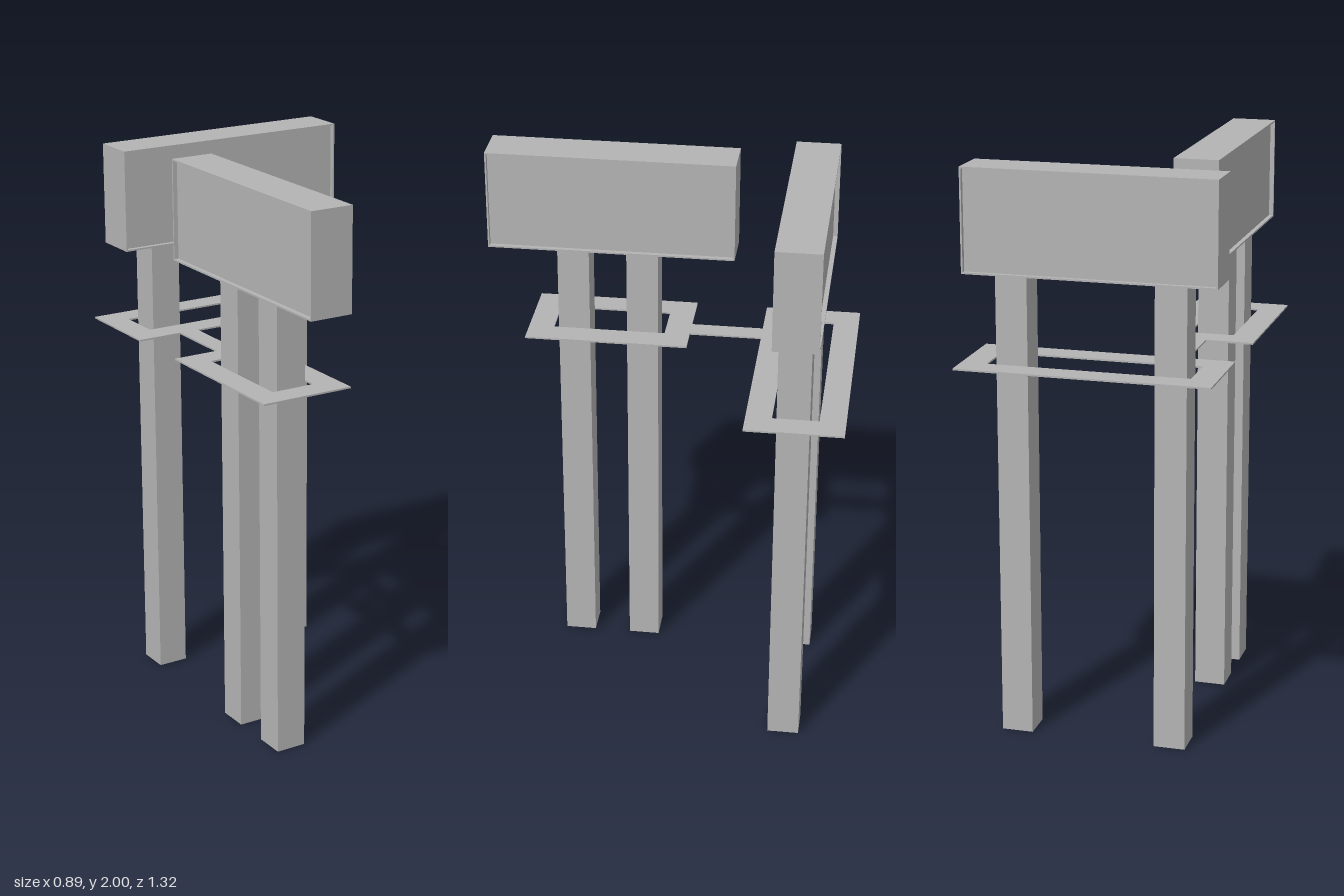
import * as THREE from 'three';

const grey = new THREE.MeshStandardMaterial({ color: 0xb4b4b4 });
grey.name = 'grey';

function addBox(parent, name, w, h, d, x, y, z) {
  const mesh = new THREE.Mesh(new THREE.BoxGeometry(w, h, d), grey);
  mesh.name = name;
  mesh.position.set(x, y, z);
  parent.add(mesh);
  return mesh;
}

// Rectangular outline with a rectangular opening, extruded along z and centred
function ringGeometry(w, h, rim, depth) {
  const rect = (Type, a, b) => {
    const p = new Type();
    p.moveTo(-a, -b);
    p.lineTo(a, -b);
    p.lineTo(a, b);
    p.lineTo(-a, b);
    p.closePath();
    return p;
  };
  const shape = rect(THREE.Shape, w / 2, h / 2);
  shape.holes.push(rect(THREE.Path, w / 2 - rim, h / 2 - rim));
  const geo = new THREE.ExtrudeGeometry(shape, { depth, bevelEnabled: false });
  geo.translate(0, 0, -depth / 2);
  return geo;
}

// Billboard: thin frame around a panel recessed on both faces
function billboard(name) {
  const w = 0.877, h = 0.36, d = 0.157, rim = 0.006, recess = 0.016;
  const group = new THREE.Group();
  group.name = name;
  const frame = new THREE.Mesh(ringGeometry(w, h, rim, d), grey);
  frame.name = 'billboardFrame';
  group.add(frame);
  addBox(group, 'billboardPanel', w - 2 * rim, h - 2 * rim, d - 2 * recess, 0, 0, 0);
  return group;
}

// Flat catwalk ring lying level around the posts
function catwalk(name, w, d, x, z) {
  const mesh = new THREE.Mesh(ringGeometry(w, d, 0.09, 0.006), grey);
  mesh.name = name;
  mesh.rotation.x = -Math.PI / 2;
  mesh.position.set(x, 1.336, z);
  return mesh;
}

export function createModel() {
  const model = new THREE.Group();
  model.name = 'twinBillboards';

  // Billboards at right angles to each other
  const back = billboard('backBillboard');
  back.position.set(0, 1.82, -0.488);
  const front = billboard('frontBillboard');
  front.rotation.y = Math.PI / 2;
  front.position.set(-0.277, 1.82, 0.217);
  model.add(back, front);

  // Four square posts
  const posts = [[-0.275, -0.48], [0.275, -0.48], [-0.275, 0.108], [-0.275, 0.355]];
  posts.forEach(([x, z]) => addBox(model, 'post', 0.11, 1.642, 0.113, x, 0.821, z));

  // Catwalks and the bridge joining them
  model.add(catwalk('backCatwalk', 0.884, 0.34, 0, -0.49));
  model.add(catwalk('frontCatwalk', 0.34, 0.58, -0.275, 0.225));
  addBox(model, 'catwalkBridge', 0.07, 0.006, 0.255, -0.242, 1.336, -0.1925);

  return model;
}
